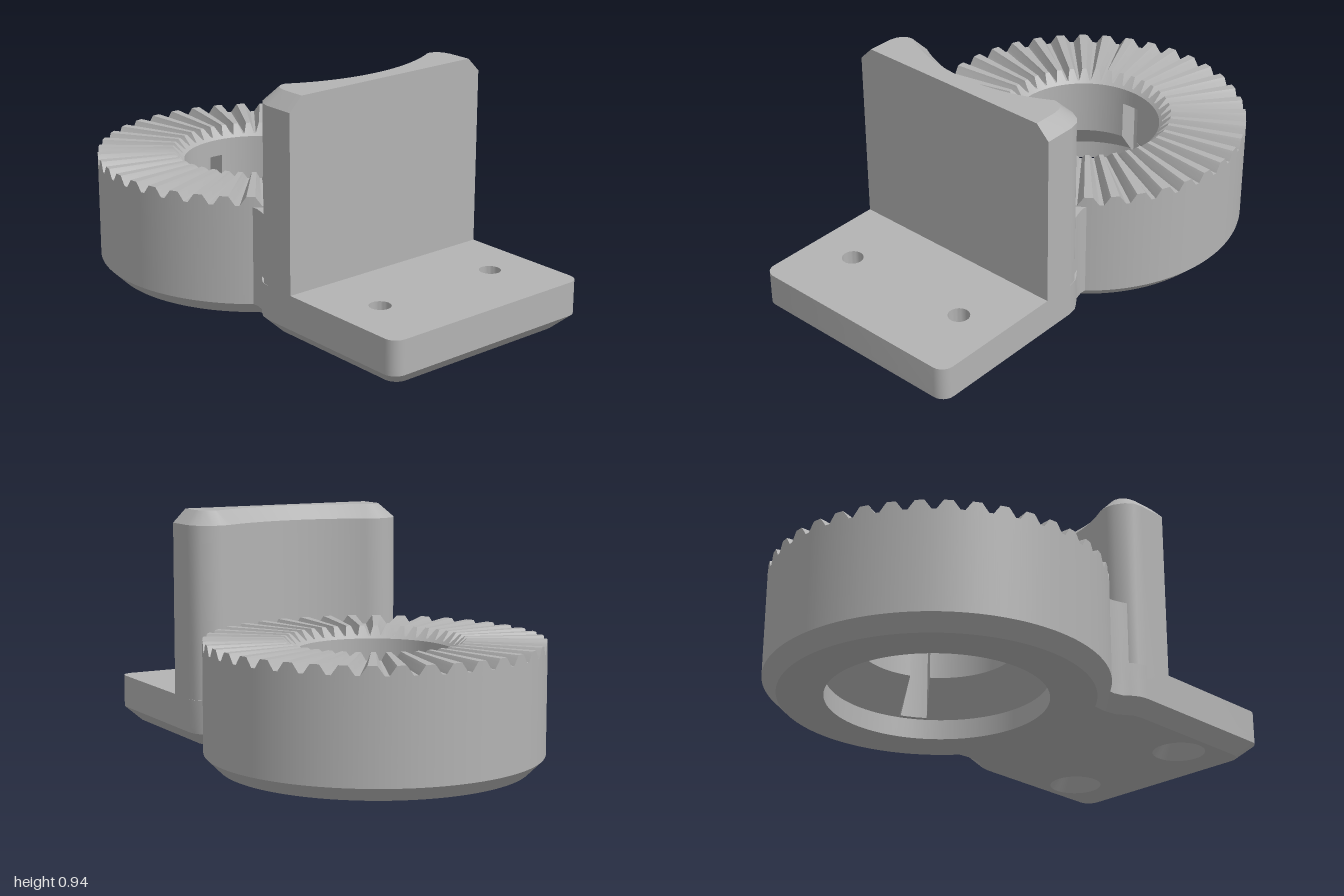
import * as THREE from 'three';
import { toCreasedNormals } from 'three/addons/utils/BufferGeometryUtils.js';

const CZ = -0.35; // ring centre in z
const CHAMFER = 0.055;

// Mesh from a plain list of triangle corners, smooth except at creases
function solid(name, tris, material) {
  const g = new THREE.BufferGeometry();
  g.setAttribute('position', new THREE.Float32BufferAttribute(tris.flat(), 3));
  const mesh = new THREE.Mesh(toCreasedNormals(g, 0.5), material);
  mesh.name = name;
  return mesh;
}

// Stack of levels { y, loops: [outer, ...holes] }, loops being [x, z] points
function loft(name, levels, material) {
  const tris = [];
  const at = ([x, z], y) => [x, y, z];
  for (let l = 0; l + 1 < levels.length; l++) {
    const lo = levels[l], up = levels[l + 1];
    lo.loops.forEach((loop, k) => loop.forEach((p, i) => {
      const n = (i + 1) % loop.length;
      const a = at(p, lo.y), b = at(loop[n], lo.y);
      const c = at(up.loops[k][n], up.y), d = at(up.loops[k][i], up.y);
      tris.push(a, d, c, a, c, b);
    }));
  }
  const cap = ({ y, loops }, top) => {
    const v = loops.map(l => l.map(([x, z]) => new THREE.Vector2(x, z)));
    const all = v.flat();
    for (const f of THREE.ShapeUtils.triangulateShape(v[0], v.slice(1))) {
      const t = f.map(i => all[i]);
      if ((THREE.ShapeUtils.area(t) > 0) === top) t.reverse();
      tris.push(...t.map(p => [p.x, y, p.y]));
    }
  };
  cap(levels[0], false);
  cap(levels[levels.length - 1], true);
  return solid(name, tris, material);
}

// Full loop from its +x half, listed from back to front
const mirrored = half =>
  [...half, ...half.filter(p => p[0] > 1e-6).reverse().map(([x, z]) => [-x, z])];

// Mounting plate outline with rounded front corners and a neck into the ring
function plateOutline(i) {
  const half = [[0.42 - i, 0.12], [0.415 - i, 0.17], [0.425 - i, 0.21 + i * 0.5],
    [0.445 - i, 0.235 + i * 0.5], [0.463 - i, 0.265 + i * 0.5], [0.47 - i, 0.3 + i * 0.5]];
  for (let k = 0; k <= 6; k++) {
    const t = k / 6 * Math.PI / 2;
    half.push([0.42 - i + 0.05 * Math.cos(t), 0.95 - i + 0.05 * Math.sin(t)]);
  }
  return mirrored(half);
}

// Upright outline: flat front, back hollowed to follow the ring
function uprightOutline(i) {
  const half = [];
  for (let k = 0; k <= 12; k++) {
    const t = k / 12 * 0.52, r = 0.66 + i;
    half.push([r * Math.sin(t), CZ + r * Math.cos(t)]);
  }
  half.push([0.365 - i * 0.05, 0.215 + i], [0.4 - i * 0.3, 0.22 + i],
    [0.44 - i * 0.7, 0.242 + i * 0.9], [0.462 - i * 0.95, 0.27 + i * 0.7],
    [0.47 - i, 0.305 + i * 0.5], [0.47 - i, 0.435]);
  return mirrored(half);
}

// Screw hole loop, wound opposite to the outline
function screwHole(x, r) {
  return Array.from({ length: 32 }, (_, k) => {
    const t = -k / 32 * Math.PI * 2;
    return [x + r * Math.cos(t), 0.715 + r * Math.sin(t)];
  });
}

// Toothed ring with a stepped bore and three locking slots
function toothedRing(material) {
  const TEETH = 40, N = TEETH * 12, SLOT_HALF = 10;
  const slotCentres = [N / 6, N / 2, N * 5 / 6];
  const column = (k, slot) => {
    const d = Math.abs((k % 12) / 12 - 0.5);
    const h = 0.45 + 0.036 * THREE.MathUtils.clamp((5 / 12 - d) * 4, 0, 1);
    const profile = [[0.595, 0], [0.65, CHAMFER], [0.65, h], [0.3 + h - 0.44, h], [0.3, 0.44], [0.3, 0.37],
      ...(slot ? [[0.4, 0.37], [0.4, 0.08]] : [[0.3, 0.37], [0.3, 0.21]]),
      [0.42, 0.08], [0.42, 0]];
    const a = k / N * Math.PI * 2;
    return profile.map(([r, y]) => [r * Math.sin(a), y, CZ + r * Math.cos(a)]);
  };
  const columns = [];
  for (let k = 0; k <= N; k++) {
    const off = Math.min(...slotCentres.map(c => Math.abs(k - c)));
    if (off !== SLOT_HALF) columns.push(column(k, off < SLOT_HALF));
    else { // slot side wall: two columns at one angle
      const entering = slotCentres.some(c => k === c - SLOT_HALF);
      columns.push(column(k, !entering), column(k, entering));
    }
  }
  const tris = [];
  for (let c = 0; c + 1 < columns.length; c++) {
    const p = columns[c], q = columns[c + 1];
    p.forEach((a, j) => {
      const n = (j + 1) % p.length;
      tris.push(a, q[j], q[n], a, q[n], p[n]);
    });
  }
  return solid('toothedRing', tris, material);
}

export function createModel() {
  const group = new THREE.Group();
  group.name = 'toothedRingBracket';
  const grey = new THREE.MeshStandardMaterial({ color: 0xb3b3b3 });
  grey.name = 'grey';

  group.add(toothedRing(grey));

  // Plate with chamfered underside and two countersunk holes
  const plateLevels = [[0, CHAMFER, 0.105], [CHAMFER, 0, 0.062], [0.08, 0, 0.042], [0.19, 0, 0.042]];
  group.add(loft('mountingPlate', plateLevels.map(([y, inset, r]) => ({
    y, loops: [plateOutline(inset), screwHole(-0.28, r), screwHole(0.28, r)],
  })), grey));

  // Upright with chamfered top edges
  group.add(loft('upright', [[0.1, 0], [0.885, 0], [0.94, CHAMFER]].map(([y, inset]) => ({
    y, loops: [uprightOutline(inset)],
  })), grey));

  // Neck joining the upright to the ring
  const neck = mirrored([[0.42, 0.12], [0.415, 0.17], [0.425, 0.21], [0.44, 0.25], [0.44, 0.4]]);
  group.add(loft('neck', [{ y: 0.1, loops: [neck] }, { y: 0.445, loops: [neck] }], grey));

  return group;
}
